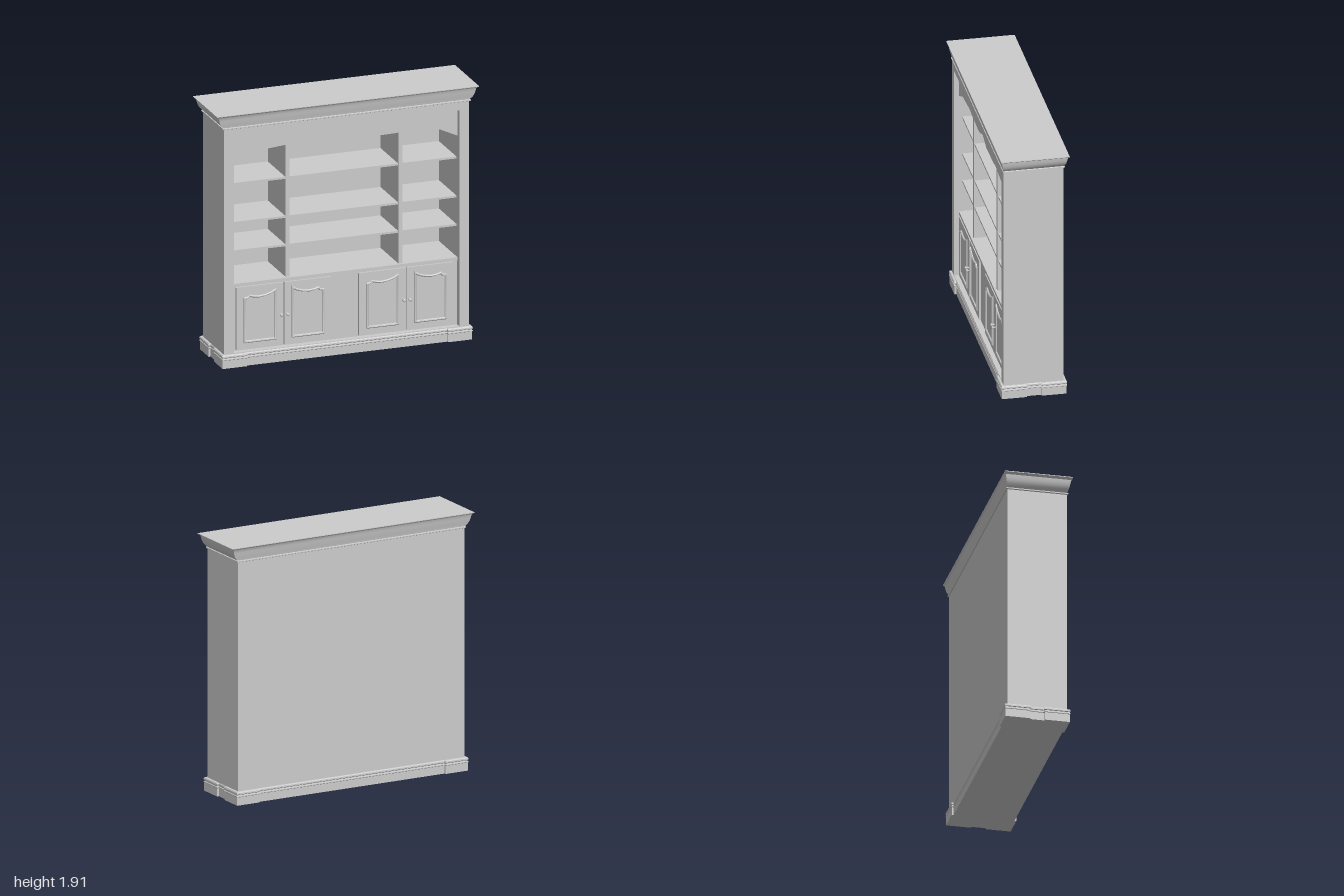
import * as THREE from 'three';
import { toCreasedNormals } from 'three/addons/utils/BufferGeometryUtils.js';

const grey = new THREE.MeshStandardMaterial({ color: 0xcccccc });
const V = (x, y) => new THREE.Vector2(x, y);

function add(parent, name, geometry, x = 0, y = 0, z = 0) {
  const mesh = new THREE.Mesh(geometry, grey);
  mesh.name = name;
  mesh.position.set(x, y, z);
  parent.add(mesh);
  return mesh;
}

// Box given by its limits on each axis
function block(parent, name, [x0, x1], [y0, y1], [z0, z1]) {
  return add(parent, name, new THREE.BoxGeometry(x1 - x0, y1 - y0, z1 - z0),
    (x0 + x1) / 2, (y0 + y1) / 2, (z0 + z1) / 2);
}

// Mitred offset of a counter-clockwise outline (positive grows it)
function offset(points, d) {
  const n = points.length;
  return points.map((p, i) => {
    const a = p.clone().sub(points[(i + n - 1) % n]).normalize();
    const b = points[(i + 1) % n].clone().sub(p).normalize();
    const na = V(a.y, -a.x), nb = V(b.y, -b.x);
    return p.clone().add(na.clone().add(nb).multiplyScalar(d / (1 + na.dot(nb))));
  });
}

// Skin between outlines stacked along z: layers of [outline, height]
function loft(layers, capped = true, crease = 0.5) {
  const n = layers[0][0].length, position = [], index = [];
  layers.forEach(([pts, h]) => pts.forEach(p => position.push(p.x, p.y, h)));
  for (let k = 0; k < layers.length - 1; k++) {
    for (let i = 0; i < n; i++) {
      const a = k * n + i, b = k * n + (i + 1) % n;
      index.push(a, b, b + n, a, b + n, a + n);
    }
  }
  if (capped) {
    const top = (layers.length - 1) * n;
    for (const [a, b, c] of THREE.ShapeUtils.triangulateShape(layers[0][0], [])) index.push(c, b, a);
    for (const [a, b, c] of THREE.ShapeUtils.triangulateShape(layers.at(-1)[0], [])) {
      index.push(top + a, top + b, top + c);
    }
  }
  const g = new THREE.BufferGeometry();
  g.setAttribute('position', new THREE.Float32BufferAttribute(position, 3));
  g.setIndex(index);
  return toCreasedNormals(g, crease);
}

const rect = (hx, hy) => [V(-hx, -hy), V(hx, -hy), V(hx, hy), V(-hx, hy)];

// Door with raised arched moulding and a knob; side = +1 has its meeting edge at +x
function door(side) {
  const group = new THREE.Group();
  block(group, 'doorSlab', [-0.18, 0.18], [0.115, 0.585], [0, 0.014]);
  let arch = [
    [-0.12, 0.165], [0.12, 0.165], [0.12, 0.545], [0.085, 0.525], [0.04, 0.511], [-0.01, 0.506],
    [-0.05, 0.511], [-0.08, 0.521], [-0.092, 0.507], [-0.12, 0.5],
  ].map(([x, y]) => V(x * side, y));
  if (side < 0) arch.reverse();
  const bead = [[0.004, 0.013], [0.004, 0.02], [-0.002, 0.025], [-0.009, 0.023], [-0.014, 0.013]];
  add(group, 'doorMoulding', loft(bead.map(([o, h]) => [offset(arch, o), h]), false));
  const knob = new THREE.LatheGeometry(
    [[0.009, 0], [0.009, 0.004], [0.005, 0.007], [0.005, 0.014], [0.011, 0.019], [0.012, 0.024],
      [0.008, 0.029], [0, 0.03]].map(([r, y]) => V(r, y)), 16);
  add(group, 'knob', knob.rotateX(Math.PI / 2), side * 0.16, 0.345, 0.014);
  return group;
}

export function createModel() {
  const model = new THREE.Group();
  model.name = 'bookcase';

  // Plinth with projecting corner blocks and a moulded top edge
  const quarter = [[0.94, 0.05], [0.955, 0.05], [0.955, 0.24], [0.765, 0.24], [0.765, 0.226]];
  const turn = (sx, sy) => quarter.map(([x, y]) => V(x * sx, y * sy));
  const plan = [...turn(1, 1), ...turn(-1, 1).reverse(), ...turn(-1, -1), ...turn(1, -1).reverse()];
  const plinth = [[-0.003, 0], [-0.003, 0.06], [0, 0.063], [0, 0.07], [-0.004, 0.073], [-0.004, 0.078],
    [0, 0.082], [0, 0.092], [-0.005, 0.1]];
  add(model, 'plinth', loft(plinth.map(([o, h]) => [offset(plan, o), h])).rotateX(-Math.PI / 2));

  // Carcass: sides, top and face frame in one shell, with a back panel
  const shell = new THREE.Shape([V(-0.935, 0.098), V(0.935, 0.098), V(0.935, 1.81), V(-0.935, 1.81)]);
  shell.holes.push(new THREE.Path([V(-0.86, 0.105), V(-0.86, 1.738), V(0.86, 1.738), V(0.86, 0.105)]));
  add(model, 'carcass', new THREE.ExtrudeGeometry(shell, { depth: 0.425, bevelEnabled: false }), 0, 0, -0.205);
  block(model, 'backPanel', [-0.935, 0.935], [0.098, 1.81], [-0.218, -0.205]);

  // Crown moulding: half width, half depth, height
  const crown = [[0.936, 0.221, 1.8], [0.945, 0.227, 1.803], [0.945, 0.227, 1.811], [0.938, 0.222, 1.814],
    [0.945, 0.223, 1.82], [0.96, 0.227, 1.835], [0.971, 0.232, 1.855], [0.977, 0.236, 1.875],
    [0.981, 0.241, 1.898], [0.989, 0.246, 1.906], [1, 0.25, 1.91], [1, 0.25, 1.915]];
  add(model, 'crown', loft(crown.map(([x, z, h]) => [rect(x, z), h])).rotateX(-Math.PI / 2));

  // Scalloped valance
  const edge = [[0.86, 1.535], [0.73, 1.596], [0.45, 1.622], [0.4, 1.611], [0.13, 1.605]];
  const valance = new THREE.Shape([
    ...edge.map(([x, y]) => V(-x, y)), V(0, 1.645), ...edge.map(([x, y]) => V(x, y)).reverse(),
    V(0.86, 1.74), V(-0.86, 1.74),
  ]);
  add(model, 'valance', new THREE.ExtrudeGeometry(valance, { depth: 0.018, bevelEnabled: false }), 0, 0, 0.167);

  // Uprights, shelves and counter
  for (const s of [-1, 1]) {
    block(model, 'upright', [s * 0.43 - 0.015, s * 0.43 + 0.015], [0.61, 1.738], [-0.205, 0.166]);
  }
  for (const y of [0.845, 1.06, 1.355]) {
    for (const [x0, x1] of [[-0.86, -0.445], [-0.415, 0.415], [0.445, 0.86]]) {
      block(model, 'shelf', [x0, x1], [y, y + 0.015], [-0.205, 0.16]);
    }
  }
  block(model, 'counter', [-0.86, 0.86], [0.592, 0.615], [-0.205, 0.185]);

  // Lower cabinet front with two pairs of doors
  block(model, 'cabinetFront', [-0.86, 0.86], [0.1, 0.595], [0.15, 0.175]);
  for (const pair of [-0.467, 0.467]) {
    for (const side of [1, -1]) {
      const d = door(side);
      d.name = 'door';
      d.position.set(pair - side * 0.183, 0, 0.175);
      model.add(d);
    }
  }
  return model;
}
